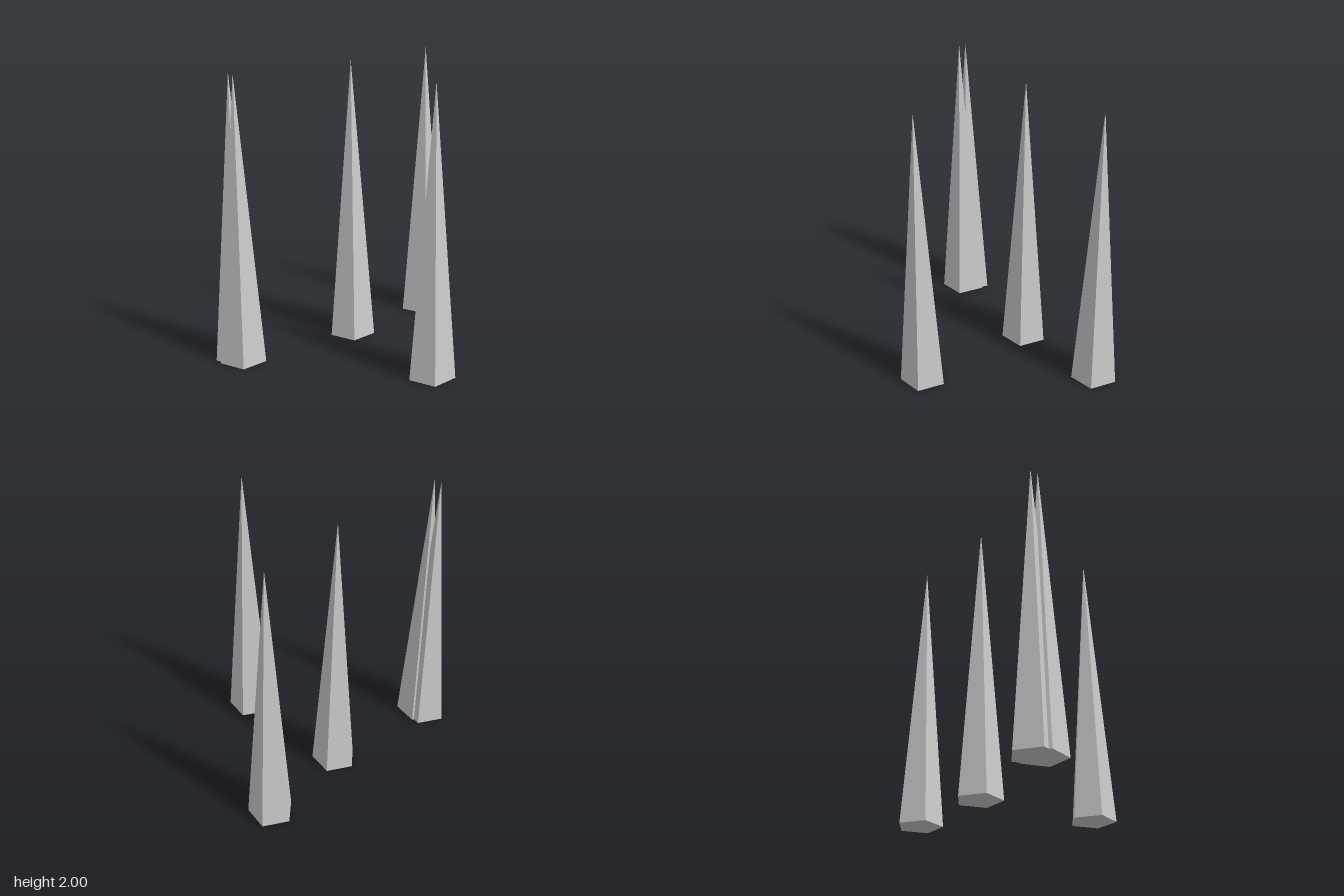
import * as THREE from 'three';

export function createModel() {
  const group = new THREE.Group();
  group.name = 'spikes';
  const material = new THREE.MeshStandardMaterial({ color: 0xcccccc, flatShading: true });

  // Five-sided spike standing on the ground, one corner pointing back
  const height = 2;
  const spike = new THREE.ConeGeometry(0.163, height, 5, 1, false, Math.PI);
  spike.translate(0, height / 2, 0);

  // Scattered spikes as [x, z]; the last two intersect
  const spots = [
    [0.045, -0.71],
    [-0.178, -0.032],
    [0.645, 0.324],
    [-0.647, 0.717],
    [-0.595, 0.738],
  ];
  spots.forEach(([x, z], i) => {
    const mesh = new THREE.Mesh(spike, material);
    mesh.name = `spike${i + 1}`;
    mesh.position.set(x, 0, z);
    group.add(mesh);
  });
  return group;
}
